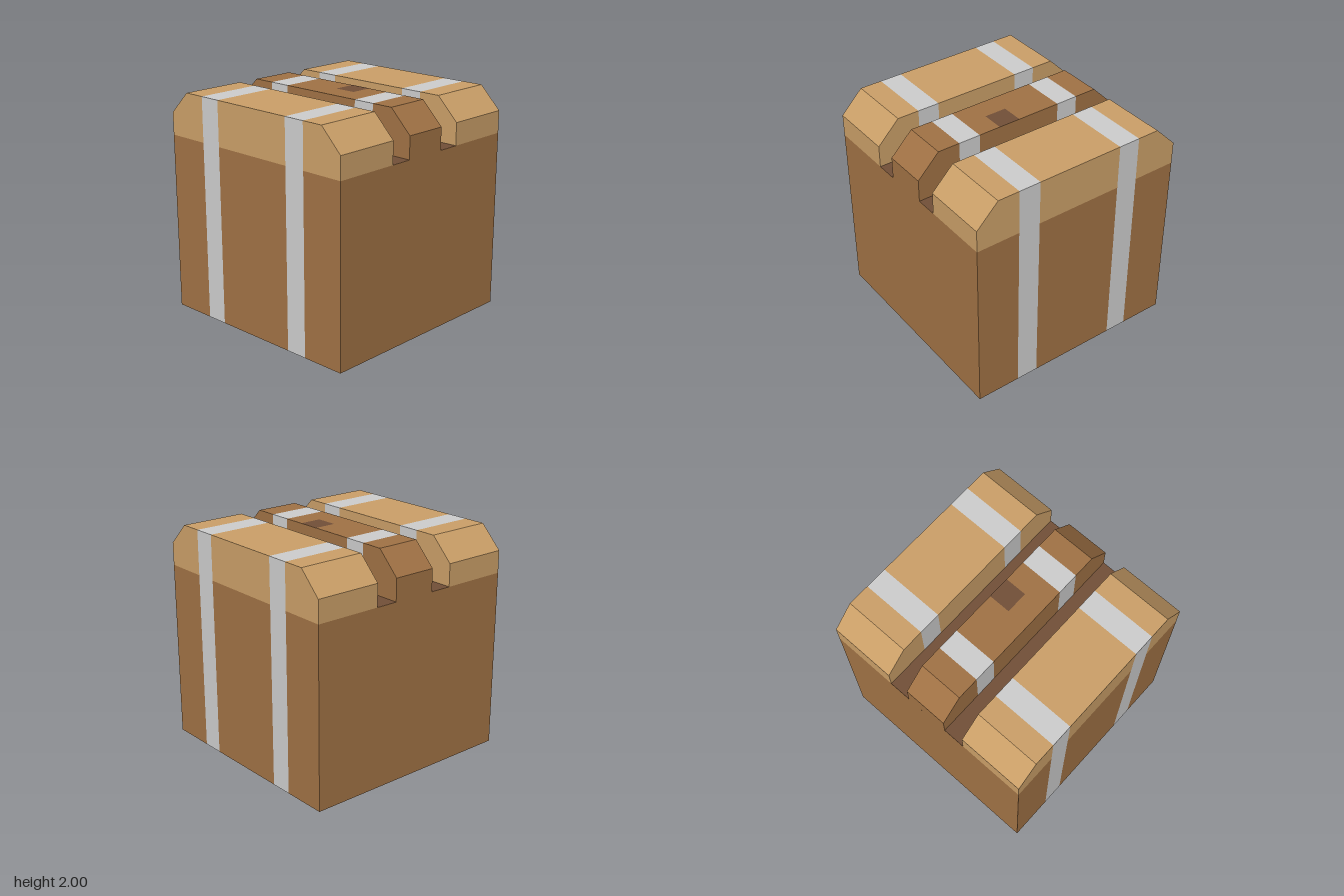
import * as THREE from 'three';

const mat = (color) => new THREE.MeshStandardMaterial({ color, flatShading: true });

export function createModel() {
  const group = new THREE.Group();
  const tan = mat(0xc99e67), brown = mat(0x9f7144), dark = mat(0x714f37), grey = mat(0xcccccc);

  // Prism with a [z, y] outline, running from x0 to x1
  function prism(name, outline, x0, x1, material) {
    const shape = new THREE.Shape(outline.map(([z, y]) => new THREE.Vector2(z, y)));
    const geo = new THREE.ExtrudeGeometry(shape, { depth: x1 - x0, bevelEnabled: false });
    geo.rotateY(-Math.PI / 2).translate(x1, 0, 0);
    const mesh = new THREE.Mesh(geo, material);
    mesh.name = name;
    group.add(mesh);
  }

  // Flat inlay facing up
  function inlay(name, x, y, z, width, depth) {
    const mesh = new THREE.Mesh(new THREE.PlaneGeometry(width, depth).rotateX(-Math.PI / 2), dark);
    mesh.name = name;
    mesh.position.set(x, y, z);
    group.add(mesh);
  }

  const base = 1.6, top = 2;
  const rect = (z0, z1, y0, y1) => [[z0, y0], [z1, y0], [z1, y1], [z0, y1]];

  // Slices from back to front: wood, band, wood, band, wood
  const slices = [
    { z: [-1, -0.6], roof: [[-1, base], [-0.6, base], [-0.6, top], [-0.8, top], [-1, 1.8]] },
    { z: [-0.6, -0.4], band: true },
    { z: [-0.4, 0.4] },
    { z: [0.4, 0.6], band: true },
    { z: [0.6, 1], roof: [[0.6, base], [1, base], [1, 1.8], [0.8, top], [0.6, top]] },
  ];

  // Three raised lid blocks, parted by two channels
  const lids = [
    ['rightLid', -1, -0.4, tan],
    ['middleLid', -0.2, 0.2, brown],
    ['leftLid', 0.4, 1, tan],
  ];

  for (const { z: [z0, z1], roof, band } of slices) {
    prism(band ? 'bodyBand' : 'body', rect(z0, z1, 0, base), -1, 1, band ? grey : brown);
    for (const [name, x0, x1, material] of lids) {
      prism(band ? name + 'Band' : name, roof ?? rect(z0, z1, base, top), x0, x1, band ? grey : material);
    }
  }

  // Dark channel floors and the small square on the middle lid
  for (const s of [-1, 1]) inlay('channelFloor', s * 0.3, base + 0.001, 0, 0.2, 2);
  inlay('lidPatch', 0.1, top + 0.001, 0.1, 0.2, 0.2);

  return group;
}
